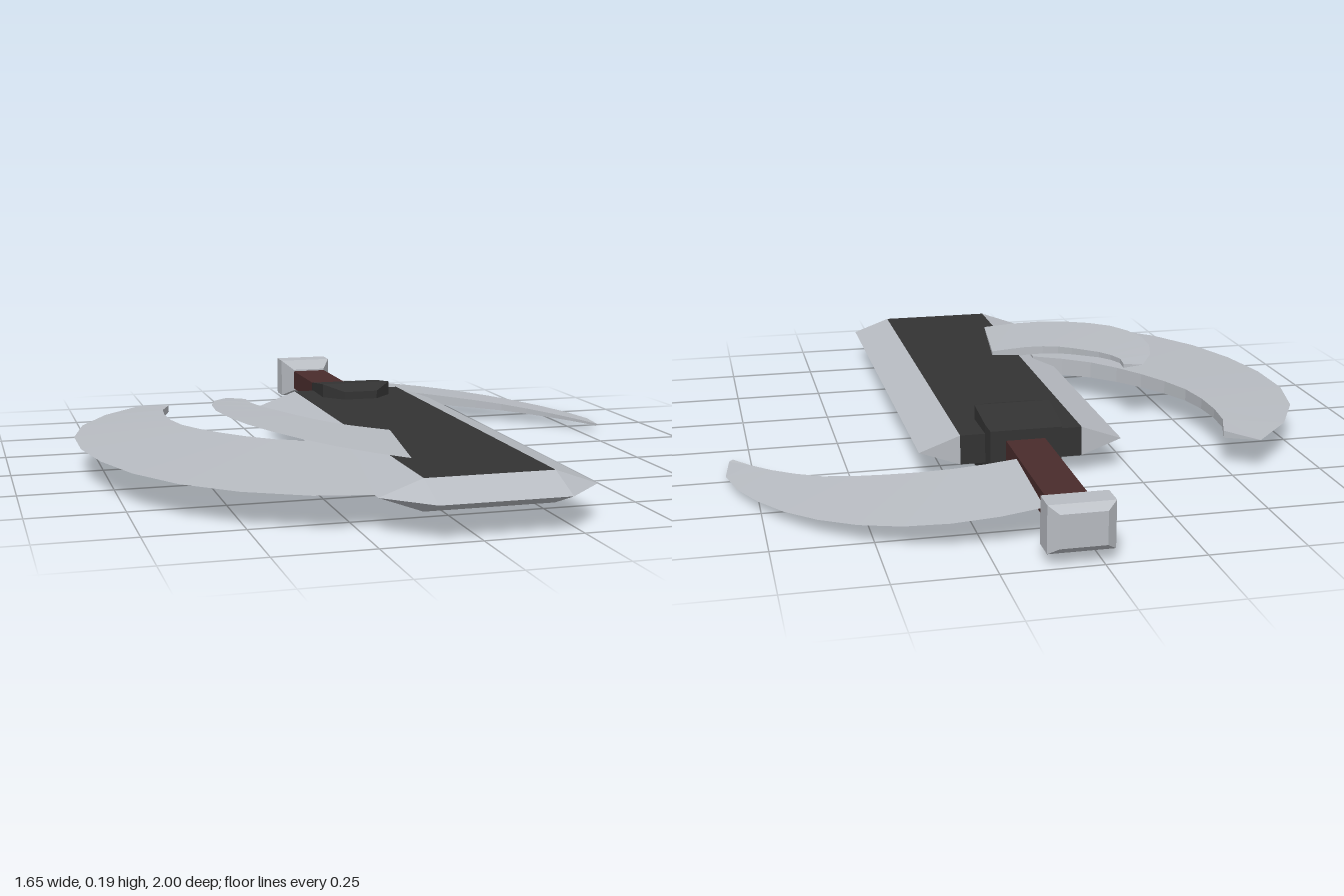
import * as THREE from 'three';
import { ConvexGeometry } from 'three/addons/geometries/ConvexGeometry.js';

const MID = 0.09; // height of the sword's middle plane

const material = (name, color) => {
  const m = new THREE.MeshStandardMaterial({ color, flatShading: true });
  m.name = name;
  return m;
};

// Faceted solid through points [x, y, z]
const hull = (points) => new ConvexGeometry(points.map((p) => new THREE.Vector3(...p)));

// Rectangular sections [z, xMin, xMax, halfHeight] joined into one solid
const sections = (list, mid) => hull(list.flatMap(([z, x0, x1, h]) => [
  [x0, mid - h, z], [x1, mid - h, z], [x1, mid + h, z], [x0, mid + h, z],
]));

// Curved wedge: sharp outer curve, thicker inner curve; both run tip to base as [x, z]
function crescent(outer, inner, height, tipHalf, baseHalf, steps = 10) {
  const sample = (pts) => new THREE.SplineCurve(
    pts.map(([x, z]) => new THREE.Vector2(x, z))).getSpacedPoints(steps);
  const o = sample(outer), n = sample(inner);
  const rings = o.map((p, i) => {
    const h = THREE.MathUtils.lerp(tipHalf, baseHalf, i / steps);
    const q = n[i];
    return [
      [p.x, height(p.x), p.y],
      [q.x, height(q.x) + h, q.y],
      [q.x, height(q.x) - h, q.y],
    ];
  });
  const pos = [];
  const tri = (a, b, c) => pos.push(...a, ...b, ...c);
  for (let i = 0; i < steps; i++) {
    const a = rings[i], b = rings[i + 1];
    for (let j = 0; j < 3; j++) {
      const k = (j + 1) % 3;
      tri(a[j], b[j], b[k]);
      tri(a[j], b[k], a[k]);
    }
  }
  const end = rings[steps];
  tri(...rings[0]);
  tri(end[0], end[2], end[1]);
  const g = new THREE.BufferGeometry();
  g.setAttribute('position', new THREE.Float32BufferAttribute(pos, 3));
  g.computeVertexNormals();
  return g;
}

export function createModel() {
  const group = new THREE.Group();
  group.name = 'crescentSword';
  const silver = material('silver steel', 0xb8bcc2);
  const dark = material('dark iron', 0x333333);
  const brown = material('brown grip', 0x4a2c2c);
  const add = (name, geometry, mat) => {
    const mesh = new THREE.Mesh(geometry, mat);
    mesh.name = name;
    group.add(mesh);
    return mesh;
  };

  // Blade: dark core slab, bevelled edges and tip
  const back = -0.39, shoulder = 0.89, x0 = -0.11, x1 = 0.22, half = 0.04;
  add('bladeCore', new THREE.BoxGeometry(x1 - x0, half * 2, shoulder - back), dark)
    .position.set((x0 + x1) / 2, MID, (back + shoulder) / 2);
  for (const [name, x, edge] of [['rightEdge', x0, -0.22], ['leftEdge', x1, 0.33]]) {
    add(name, hull([back, shoulder].flatMap((z) => [
      [x, MID + half, z], [x, MID - half, z], [edge, MID, z],
    ])), silver);
  }
  add('bladeTip', hull([
    [x0, MID + half, shoulder], [x1, MID + half, shoulder],
    [x0, MID - half, shoulder], [x1, MID - half, shoulder],
    [-0.22, MID, shoulder], [0.33, MID, shoulder], [x0, MID, 1], [x1, MID, 1],
  ]), silver);

  // Guard, grip and pommel
  add('guard', sections([
    [-0.43, -0.045, 0.147, 0.063], [-0.39, -0.05, 0.153, 0.07],
    [-0.26, -0.053, 0.155, 0.085], [-0.2, 0, 0.1, 0.068],
  ], 0.085), dark);
  add('grip', new THREE.BoxGeometry(0.105, 0.06, 0.46), brown).position.set(0.053, MID, -0.64);
  add('pommel', sections([
    [-0.86, 0, 0.105, 0.035], [-0.915, -0.03, 0.135, 0.06],
    [-0.98, -0.03, 0.135, 0.06], [-1, -0.005, 0.11, 0.042],
  ], MID), silver);

  // Crescent blades
  add('largeCrescent', crescent(
    [[-0.58, -0.49], [-0.68, -0.385], [-0.75, -0.29], [-0.8, -0.15], [-0.828, 0.02],
      [-0.81, 0.21], [-0.76, 0.4], [-0.67, 0.58], [-0.54, 0.72], [-0.38, 0.82], [-0.19, 0.865]],
    [[-0.5, -0.42], [-0.53, -0.34], [-0.54, -0.2], [-0.52, -0.05], [-0.46, 0.08],
      [-0.38, 0.2], [-0.29, 0.29], [-0.16, 0.36]],
    () => MID, 0.01, 0.028), silver);
  add('smallCrescent', crescent(
    [[-0.395, -0.025], [-0.45, 0.07], [-0.475, 0.2], [-0.46, 0.32], [-0.42, 0.43],
      [-0.34, 0.54], [-0.25, 0.62], [-0.16, 0.665], [-0.075, 0.69]],
    [[-0.345, 0], [-0.35, 0.05], [-0.325, 0.13], [-0.28, 0.2], [-0.22, 0.28],
      [-0.14, 0.335], [-0.03, 0.36]],
    (x) => 0.131 - 0.15 * (x + 0.05), 0.006, 0.014), silver);
  add('gripCrescent', crescent(
    [[0.81, -0.15], [0.825, -0.26], [0.785, -0.42], [0.68, -0.61], [0.53, -0.755],
      [0.37, -0.83], [0.2, -0.85], [0.1, -0.84]],
    [[0.8, -0.145], [0.75, -0.23], [0.68, -0.32], [0.57, -0.42], [0.39, -0.5],
      [0.24, -0.54], [0.1, -0.55]],
    (x) => 0.09 - 0.097 * (x - 0.1), 0.003, 0.022), silver);

  return group;
}
